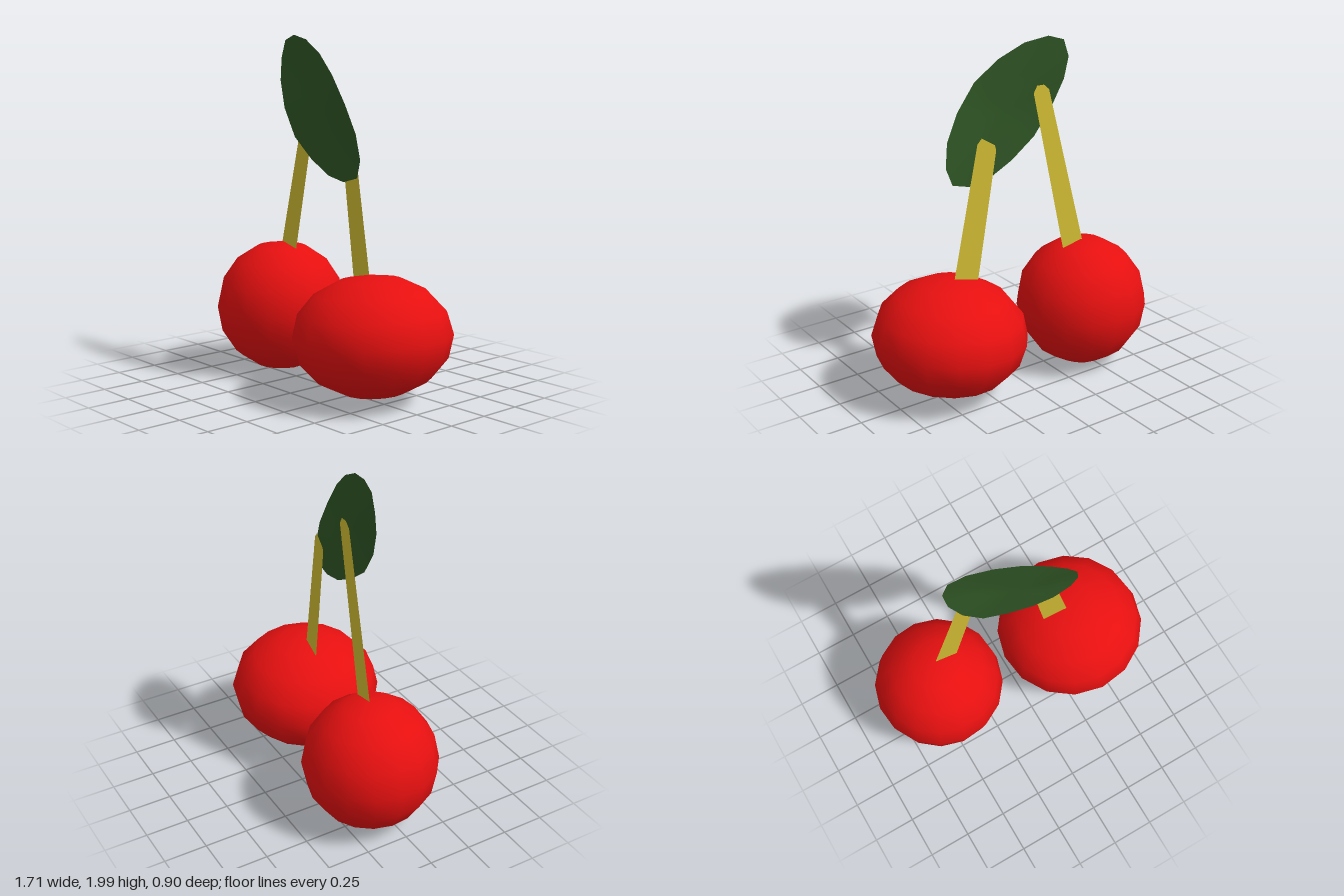
import * as THREE from 'three';

const red = new THREE.MeshStandardMaterial({ color: 0xe81010 });
red.name = 'cherryRed';
const yellow = new THREE.MeshStandardMaterial({ color: 0xd2bd34, side: THREE.DoubleSide });
yellow.name = 'stemYellow';
const green = new THREE.MeshStandardMaterial({ color: 0x2f5525, side: THREE.DoubleSide });
green.name = 'leafGreen';

// Low-poly, smooth-shaded fruit, squashed and slightly tilted
function cherry(name, position, radii, tilt, turn) {
  const mesh = new THREE.Mesh(new THREE.SphereGeometry(1, 16, 8), red);
  mesh.name = name;
  mesh.scale.set(...radii);
  mesh.position.set(...position);
  mesh.rotation.set(0, turn, tilt);
  return mesh;
}

// Flat tapering ribbon; its depth follows x through zAt
function stem(name, outline, zAt) {
  const shape = new THREE.Shape(outline.map(([x, y]) => new THREE.Vector2(x, y)));
  const geometry = new THREE.ShapeGeometry(shape);
  const p = geometry.attributes.position;
  for (let i = 0; i < p.count; i++) p.setZ(i, zAt(p.getX(i)));
  geometry.computeVertexNormals();
  const mesh = new THREE.Mesh(geometry, yellow);
  mesh.name = name;
  return mesh;
}

// Gently twisted oval blade: rings shrinking from the rim to the middle
function leaf() {
  const rim = [
    [-0.39, 1.87, -0.015], [-0.375, 1.74, 0.005], [-0.31, 1.585, 0.03], [-0.2, 1.425, 0.045],
    [-0.05, 1.31, 0.05], [0.1, 1.23, 0.055], [0.23, 1.205, 0.06], [0.34, 1.235, 0.06],
    [0.375, 1.335, 0.07], [0.355, 1.475, 0.085], [0.28, 1.63, 0.095], [0.17, 1.785, 0.09],
    [0.03, 1.9, 0.06], [-0.12, 1.975, 0.03], [-0.26, 2.0, 0.0], [-0.355, 1.97, -0.015],
  ];
  const middle = [0, 1.6, 0.055];
  const n = rim.length;
  const positions = [...middle];
  const index = [];
  [0.5, 1].forEach((t, ring) => {
    rim.forEach((point, i) => {
      point.forEach((v, k) => positions.push(middle[k] + (v - middle[k]) * t));
      const j = (i + 1) % n;
      if (ring === 0) index.push(0, 1 + i, 1 + j);
      else index.push(1 + i, 1 + n + i, 1 + n + j, 1 + i, 1 + n + j, 1 + j);
    });
  });
  const geometry = new THREE.BufferGeometry();
  geometry.setAttribute('position', new THREE.Float32BufferAttribute(positions, 3));
  geometry.setIndex(index);
  geometry.computeVertexNormals();
  const mesh = new THREE.Mesh(geometry, green);
  mesh.name = 'leaf';
  return mesh;
}

export function createModel() {
  const group = new THREE.Group();
  group.name = 'cherryPair';
  group.add(
    cherry('rightCherry', [-0.47, 0.392, -0.07], [0.387, 0.387, 0.387], -0.03, -0.09),
    cherry('leftCherry', [0.408, 0.372, 0.005], [0.445, 0.337, 0.445], 0.07, -0.07),
    stem('rightStem',
      [[-0.48, 0.72], [-0.336, 0.72], [-0.118, 1.71], [-0.14, 1.75], [-0.185, 1.75], [-0.219, 1.72]],
      (x) => -0.055 + 0.045 * x),
    stem('leftStem',
      [[0.235, 0.64], [0.388, 0.64], [0.226, 1.47], [0.2, 1.5], [0.12, 1.45], [0.112, 1.42]],
      (x) => -0.045 + 0.12 * x),
    leaf(),
  );
  return group;
}
